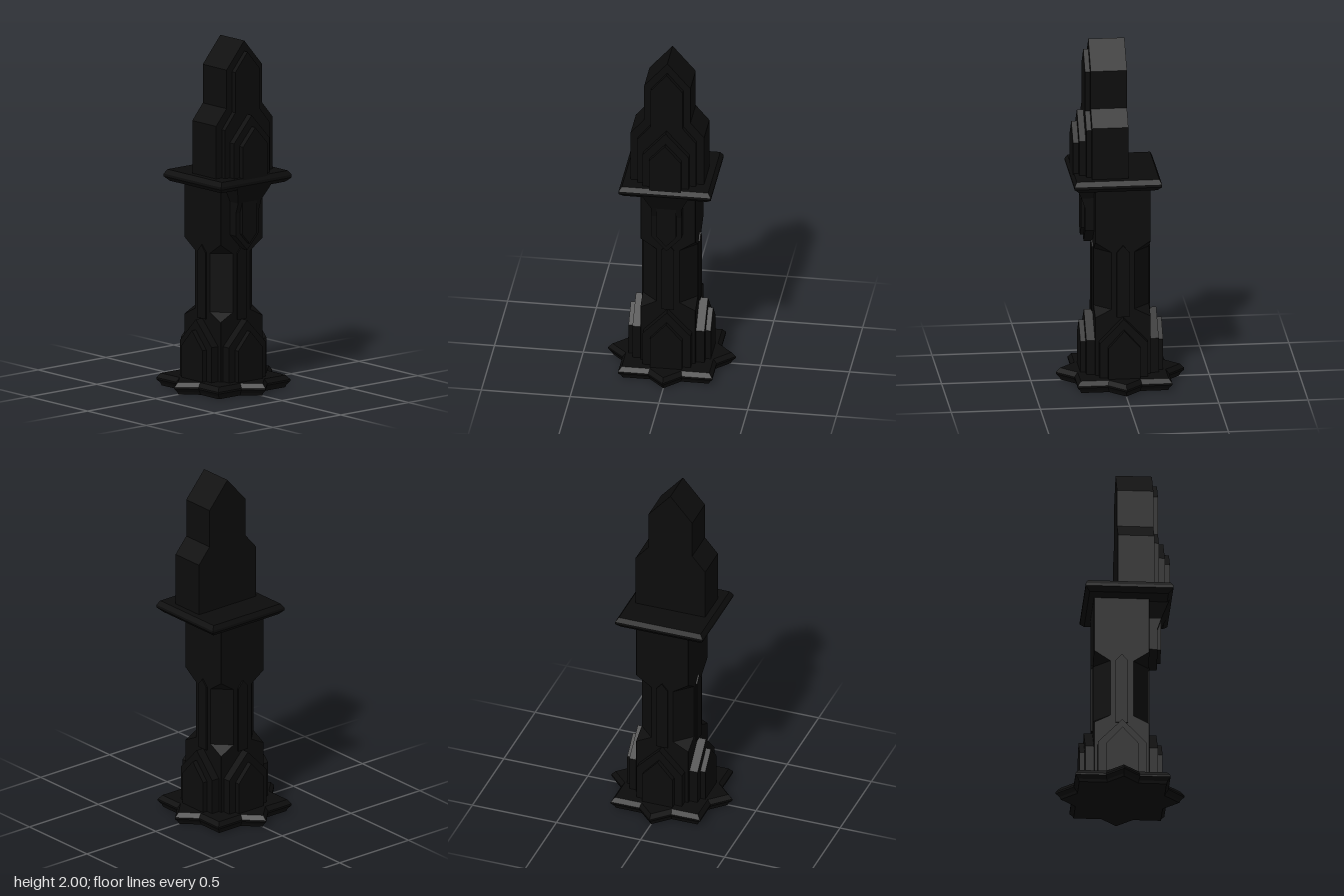
import * as THREE from 'three';

const stone = new THREE.MeshStandardMaterial({ color: 0x0c0c0c, flatShading: true });

function add(parent, geometry, name) {
  const mesh = new THREE.Mesh(geometry, stone);
  mesh.name = name;
  parent.add(mesh);
  return mesh;
}

// Solid through horizontal rings of [x, z] corners (running from +x towards +z), capped at both ends
function loft(levels) {
  const pos = [];
  const tri = (...points) => points.forEach((p) => pos.push(...p));
  const rings = levels.map(([y, ring]) => ring.map(([x, z]) => [x, y, z]));
  const n = rings[0].length;
  const centre = (ring) => [0, 1, 2].map((k) => ring.reduce((s, p) => s + p[k], 0) / n);
  const low = rings[0], high = rings[rings.length - 1];
  for (let i = 0; i < n; i++) {
    const j = (i + 1) % n;
    for (let r = 0; r + 1 < rings.length; r++) {
      const a = rings[r], b = rings[r + 1];
      tri(a[i], b[i], a[j]);
      tri(a[j], b[i], b[j]);
    }
    tri(centre(low), low[i], low[j]);
    tri(centre(high), high[j], high[i]);
  }
  const g = new THREE.BufferGeometry();
  g.setAttribute('position', new THREE.Float32BufferAttribute(pos, 3));
  g.computeVertexNormals();
  return g;
}

const rect = (hx, z0, z1) => [[hx, z0], [hx, z1], [-hx, z1], [-hx, z0]];

// Square of half width h with corners cut by c
function cutSquare(h, c) {
  const k = h - c;
  return [[h, -k], [h, k], [k, h], [-k, h], [-h, k], [-h, -k], [-k, -h], [k, -h]];
}

// Eight-pointed star: a square joined with a diamond
function star(scale) {
  const r = 0.36 * scale, s = 0.265 * scale, t = r - s;
  const quarter = [[r, 0], [s, t], [s, s], [t, s]];
  const out = [];
  for (let q = 0; q < 4; q++) {
    for (const [x, z] of quarter) {
      out.push([[x, z], [-z, x], [-x, -z], [z, -x]][q]);
    }
  }
  return out;
}

// Symmetrical slab from the right half of its outline, running from z0 to z1
function panel(half, z0, z1) {
  const left = half.filter(([x]) => x > 0).map(([x, y]) => [-x, y]).reverse();
  const shape = new THREE.Shape([...half, ...left].map(([x, y]) => new THREE.Vector2(x, y)));
  return new THREE.ExtrudeGeometry(shape, { depth: z1 - z0, bevelEnabled: false }).translate(0, 0, z0);
}

const gable = (w, bottom, eaves, peak) => [[w, bottom], [w, eaves], [0, peak]];

export function createModel() {
  const model = new THREE.Group();
  model.name = 'tower';

  // Star-shaped foot with bevelled rim
  add(model, loft([
    [0, star(0.92)], [0.015, star(0.94)], [0.035, star(1)], [0.045, star(1)], [0.07, star(0.93)],
  ]), 'starBase');

  // Shaft: square foot, octagonal middle, square head
  const sq = cutSquare(0.155, 0.002), oct = cutSquare(0.155, 0.091);
  add(model, loft([
    [0.06, sq], [0.41, sq], [0.455, oct], [0.79, oct], [0.85, sq], [1.18, sq],
  ]), 'shaft');

  // Stepped gables and a slim strip on each of the four sides
  for (let i = 0; i < 4; i++) {
    const side = new THREE.Group();
    side.name = 'sideTrim' + (i + 1);
    side.rotation.y = i * Math.PI / 2;
    add(side, panel(gable(0.135, 0.06, 0.27, 0.41), 0.1, 0.203), 'outerGable');
    add(side, panel(gable(0.09, 0.06, 0.25, 0.35), 0.15, 0.232), 'innerGable');
    add(side, panel([[0.035, 0.41], [0.035, 0.79], [0, 0.83]], 0.12, 0.163), 'shaftStrip');
    model.add(side);
  }

  // Downward-pointing bracket beneath the front of the balcony
  const pendant = (w, top, shoulder, tip) => [[0, tip], [w, shoulder], [w, top]];
  add(model, panel(pendant(0.085, 1.18, 0.9, 0.81), 0.1, 0.205), 'outerBracket');
  add(model, panel(pendant(0.055, 1.12, 0.91, 0.85), 0.15, 0.225), 'innerBracket');
  add(model, loft([
    [1.03, rect(0.085, 0.1, 0.205)], [1.09, rect(0.085, 0.1, 0.225)], [1.19, rect(0.13, 0.1, 0.27)],
  ]), 'corbel');

  // Balcony slab with bevelled rim
  add(model, loft([
    [1.175, rect(0.235, -0.185, 0.255)], [1.2, rect(0.26, -0.208, 0.282)],
    [1.215, rect(0.26, -0.208, 0.282)], [1.24, rect(0.243, -0.195, 0.268)],
  ]), 'balcony');

  // Stepped gabled head with raised panels on its front
  add(model, panel([
    [0.207, 1.23], [0.207, 1.54], [0.13, 1.63], [0.13, 1.85], [0, 2],
  ], -0.025, 0.178), 'head');
  add(model, panel([
    [0.165, 1.23], [0.165, 1.515], [0.09, 1.605], [0.09, 1.835], [0, 1.94],
  ], 0.15, 0.206), 'headPanel');
  add(model, panel(gable(0.13, 1.23, 1.44, 1.585), 0.18, 0.242), 'frontOuterGable');
  add(model, panel(gable(0.09, 1.23, 1.42, 1.52), 0.22, 0.273), 'frontInnerGable');

  return model;
}
